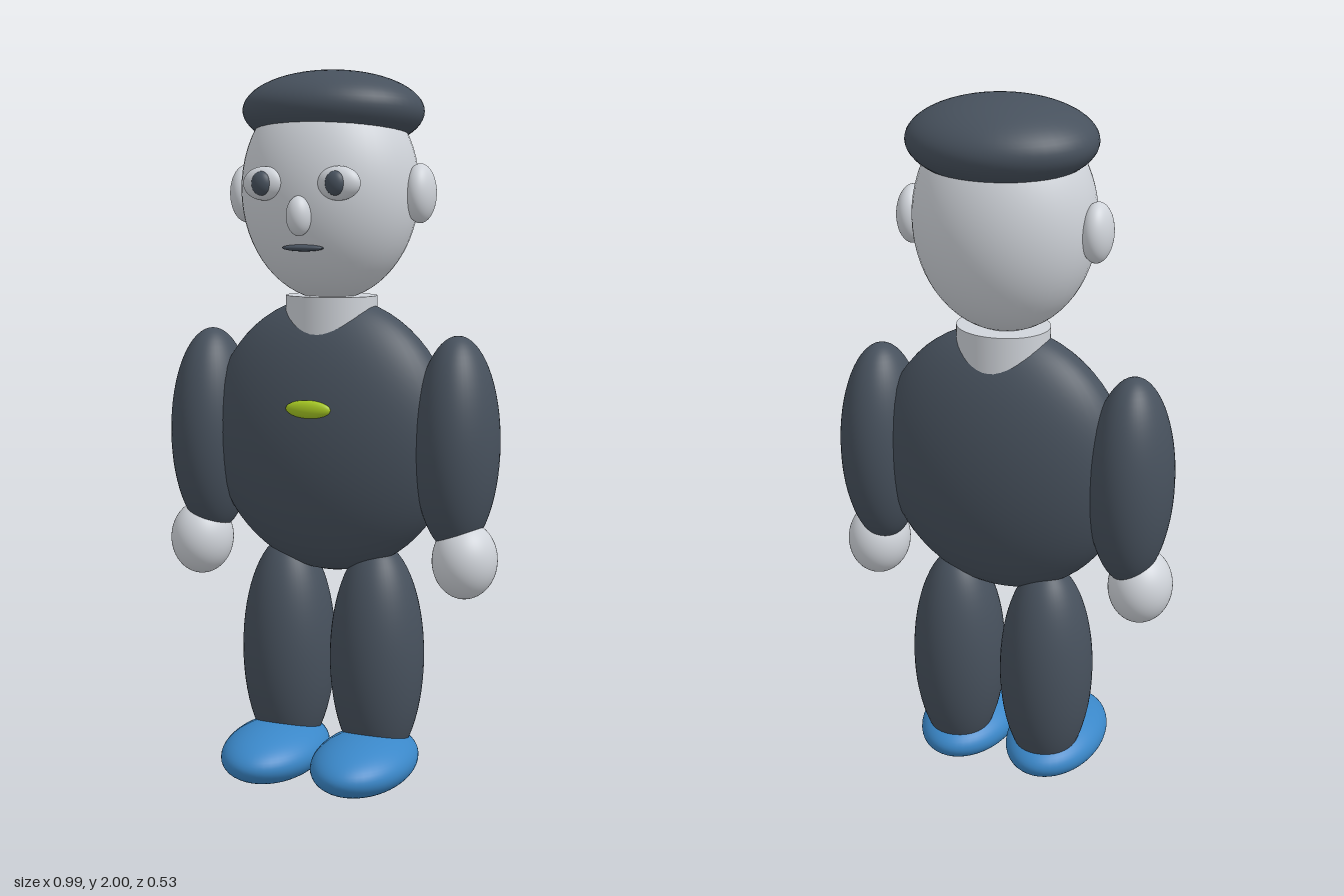
import * as THREE from 'three';

const mat = (name, color) => {
  const m = new THREE.MeshStandardMaterial({ color });
  m.name = name;
  return m;
};

export function createModel() {
  const group = new THREE.Group();
  const charcoal = mat('charcoal', 0x47515d);
  const paleGrey = mat('pale grey', 0xd0d4da);
  const blue = mat('blue', 0x3a87c8);
  const lime = mat('lime', 0xa6c823);

  const ball = new THREE.SphereGeometry(1, 48, 32);

  // Ellipsoid from centre and radii
  const blob = (name, material, centre, radii) => {
    const mesh = new THREE.Mesh(ball, material);
    mesh.name = name;
    mesh.position.set(...centre);
    mesh.scale.set(...radii);
    group.add(mesh);
    return mesh;
  };

  // The same ellipsoid on both sides of the body
  const pair = (name, material, [x, y, z], radii) => {
    blob('left' + name, material, [x, y, z], radii);
    blob('right' + name, material, [-x, y, z], radii);
  };

  // Body and neck
  blob('torso', charcoal, [0, 0.995, -0.037], [0.365, 0.39, 0.172]);
  blob('chestBadge', lime, [0, 1.085, 0.13], [0.066, 0.025, 0.016]);
  const neck = new THREE.Mesh(new THREE.CylinderGeometry(1, 1, 0.2, 48), paleGrey);
  neck.name = 'neck';
  neck.position.set(0, 1.287, -0.037);
  neck.scale.set(0.13, 1, 0.115);
  group.add(neck);

  // Head and cap
  blob('head', paleGrey, [0, 1.677, -0.027], [0.25, 0.304, 0.219]);
  blob('cap', charcoal, [0, 1.89, -0.048], [0.256, 0.11, 0.217]).rotation.x = -0.05;

  // Face
  pair('Ear', paleGrey, [0.26, 1.667, -0.037], [0.042, 0.08, 0.062]);
  pair('Eye', paleGrey, [0.107, 1.693, 0.172], [0.061, 0.045, 0.031]);
  pair('Pupil', charcoal, [0.106, 1.693, 0.193], [0.028, 0.032, 0.02]);
  blob('nose', paleGrey, [0, 1.608, 0.188], [0.034, 0.053, 0.037]);
  blob('mouth', charcoal, [0, 1.523, 0.163], [0.06, 0.009, 0.018]);

  // Arms and hands
  pair('Arm', charcoal, [0.372, 0.985, -0.037], [0.117, 0.3, 0.144]);
  pair('Hand', paleGrey, [0.404, 0.669, -0.021], [0.09, 0.108, 0.098]);

  // Legs and shoes
  pair('Leg', charcoal, [0.137, 0.36, -0.048], [0.134, 0.33, 0.14]);
  pair('Shoe', blue, [0.138, 0.08, 0.047], [0.141, 0.079, 0.219]);

  return group;
}
